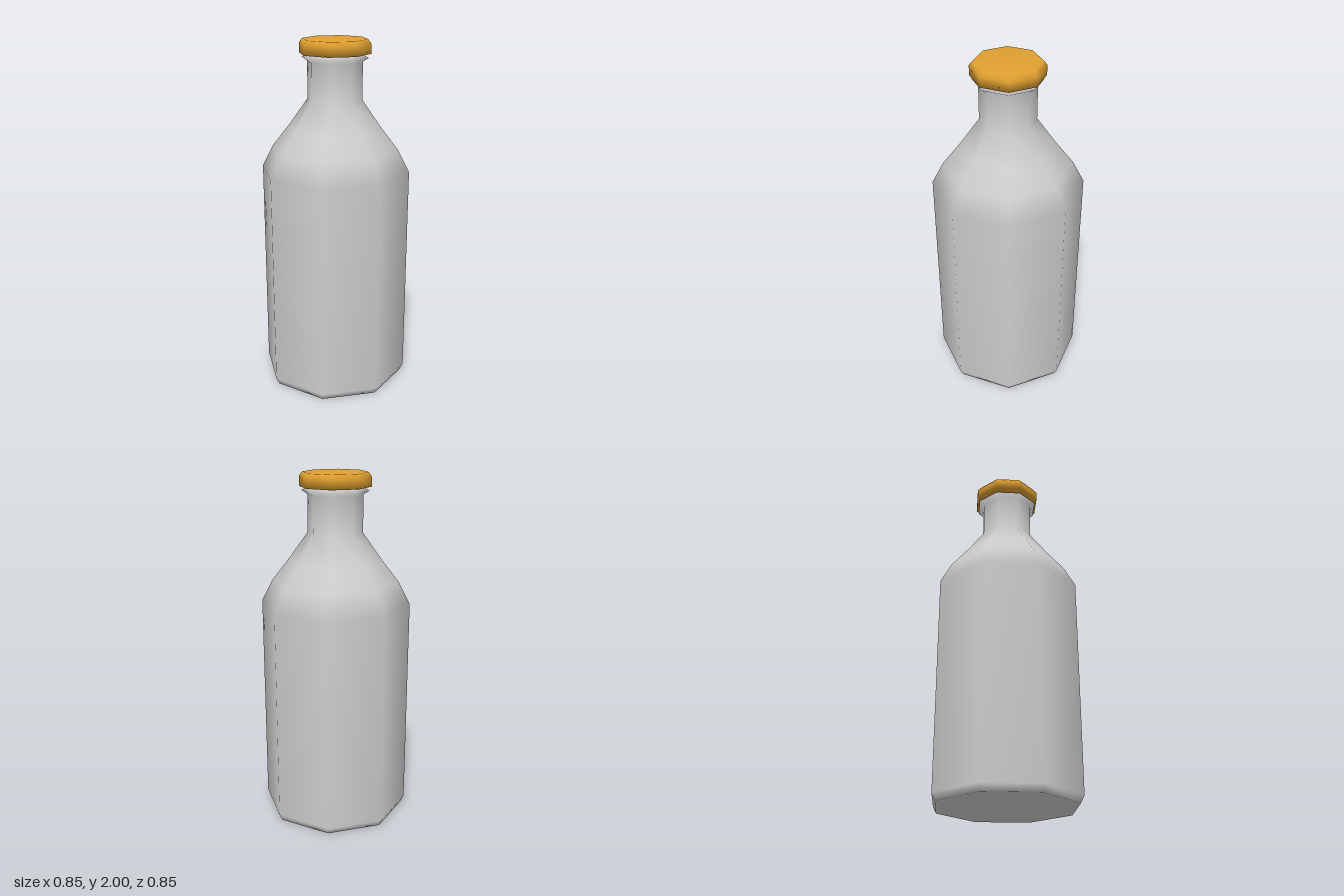
import * as THREE from 'three';

const SIDES = 8;

// Smooth-shaded eight-sided turned part; profile runs from bottom to top
function turned(name, profile, color) {
  const points = profile.map(([r, y]) => new THREE.Vector2(r, y));
  const mesh = new THREE.Mesh(
    new THREE.LatheGeometry(points, SIDES),
    new THREE.MeshStandardMaterial({ color, side: THREE.DoubleSide })
  );
  mesh.name = name;
  return mesh;
}

export function createModel() {
  const group = new THREE.Group();
  group.name = 'bottle';

  // Body with chamfered base, sloping shoulder, straight neck and flared lip
  group.add(turned('bottleBody', [
    [0, 0], [0.405, 0], [0.425, 0.04],
    [0.425, 1.27], [0.36, 1.395], [0.262, 1.52],
    [0.155, 1.67], [0.155, 1.88],
    [0.187, 1.9], [0.155, 1.92], [0.155, 1.93],
  ], 0xcccccc));

  // Cap with a bevelled top edge
  group.add(turned('cap', [
    [0, 1.922], [0.2, 1.922], [0.2, 1.977], [0.182, 2], [0, 2],
  ], 0xe0a030));

  return group;
}
